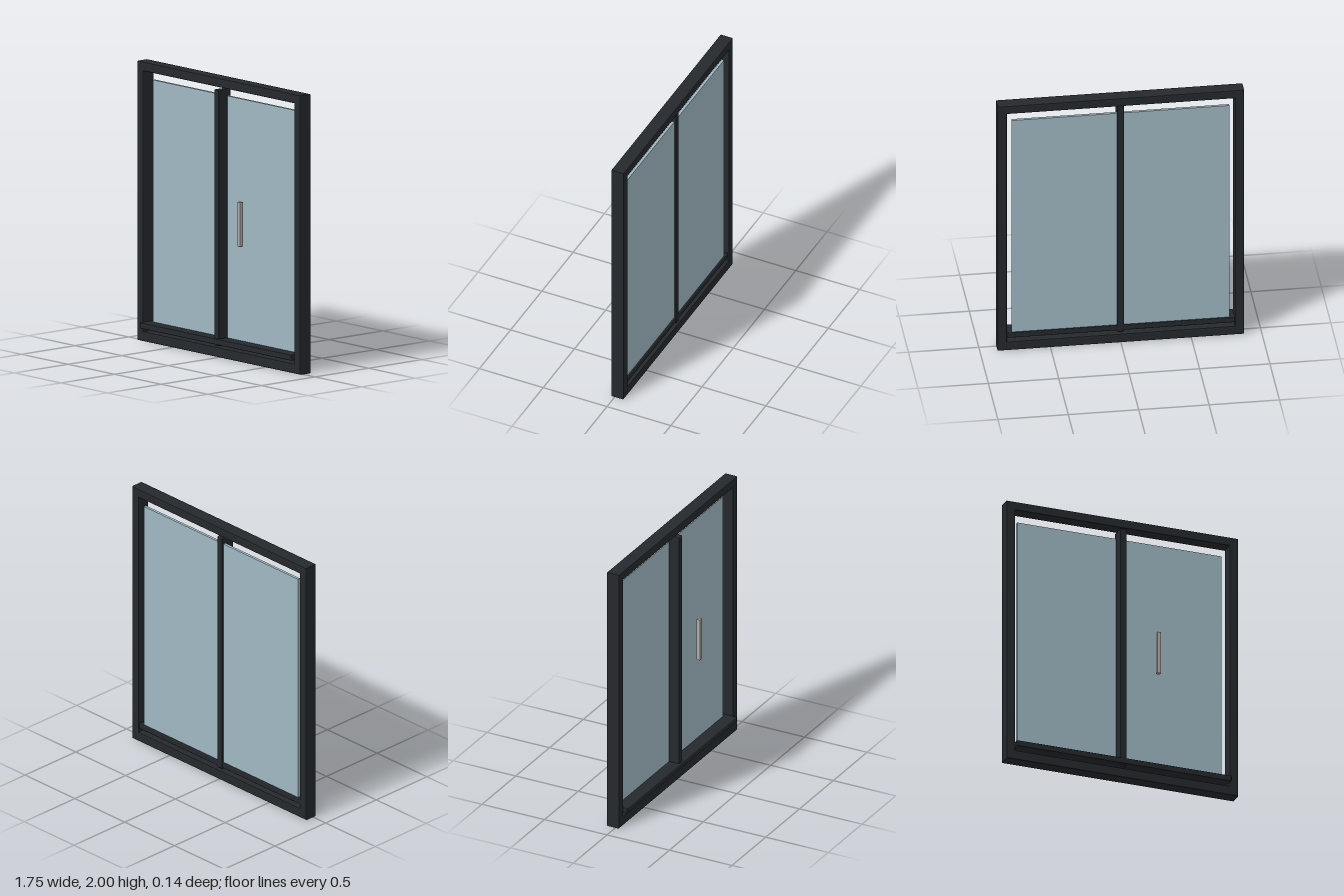
import * as THREE from 'three';
import { RoundedBoxGeometry } from 'three/addons/geometries/RoundedBoxGeometry.js';

const dark = new THREE.MeshStandardMaterial({ color: 0x25292d });
const glass = new THREE.MeshStandardMaterial({ color: 0x9fb8c2 });
const metal = new THREE.MeshStandardMaterial({ color: 0xb0aeac });

// Box given by its min and max corners, with optional softened edges
function block(name, min, max, material, radius = 0) {
  const size = max.map((v, i) => v - min[i]);
  const geometry = radius
    ? new RoundedBoxGeometry(...size, 2, radius)
    : new THREE.BoxGeometry(...size);
  const mesh = new THREE.Mesh(geometry, material);
  mesh.name = name;
  mesh.position.set(...max.map((v, i) => (v + min[i]) / 2));
  return mesh;
}

// Traces a rectangle on a Shape or Path
function rectangle(path, x, y0, y1) {
  path.moveTo(-x, y0);
  path.lineTo(x, y0);
  path.lineTo(x, y1);
  path.lineTo(-x, y1);
  path.closePath();
  return path;
}

// Outer frame: one bevelled ring, z from -0.07 to 0.03
function outerFrame() {
  const bevel = 0.008;
  const shape = rectangle(new THREE.Shape(), 0.875 - bevel, bevel, 2 - bevel);
  shape.holes.push(rectangle(new THREE.Path(), 0.81 + bevel, 0.07 - bevel, 1.935 + bevel));
  const geometry = new THREE.ExtrudeGeometry(shape, {
    depth: 0.1 - 2 * bevel,
    bevelThickness: bevel,
    bevelSize: bevel,
    bevelSegments: 2,
  });
  geometry.translate(0, 0, -0.07 + bevel);
  const mesh = new THREE.Mesh(geometry, dark);
  mesh.name = 'outerFrame';
  return mesh;
}

export function createModel() {
  const model = new THREE.Group();
  model.name = 'slidingDoor';
  model.add(
    outerFrame(),
    block('glassPane', [-0.773, 0.13, -0.05], [0.773, 1.87, -0.03], glass),
    block('centreMullion', [-0.025, 0.085, -0.062], [0.025, 1.92, 0.05], dark, 0.006),
    block('bottomTrack', [-0.812, 0.095, -0.06], [0.812, 0.137, 0.06], dark, 0.006),
    block('handle', [0.247, 0.835, 0.042], [0.277, 1.155, 0.07], metal, 0.003),
  );
  return model;
}
